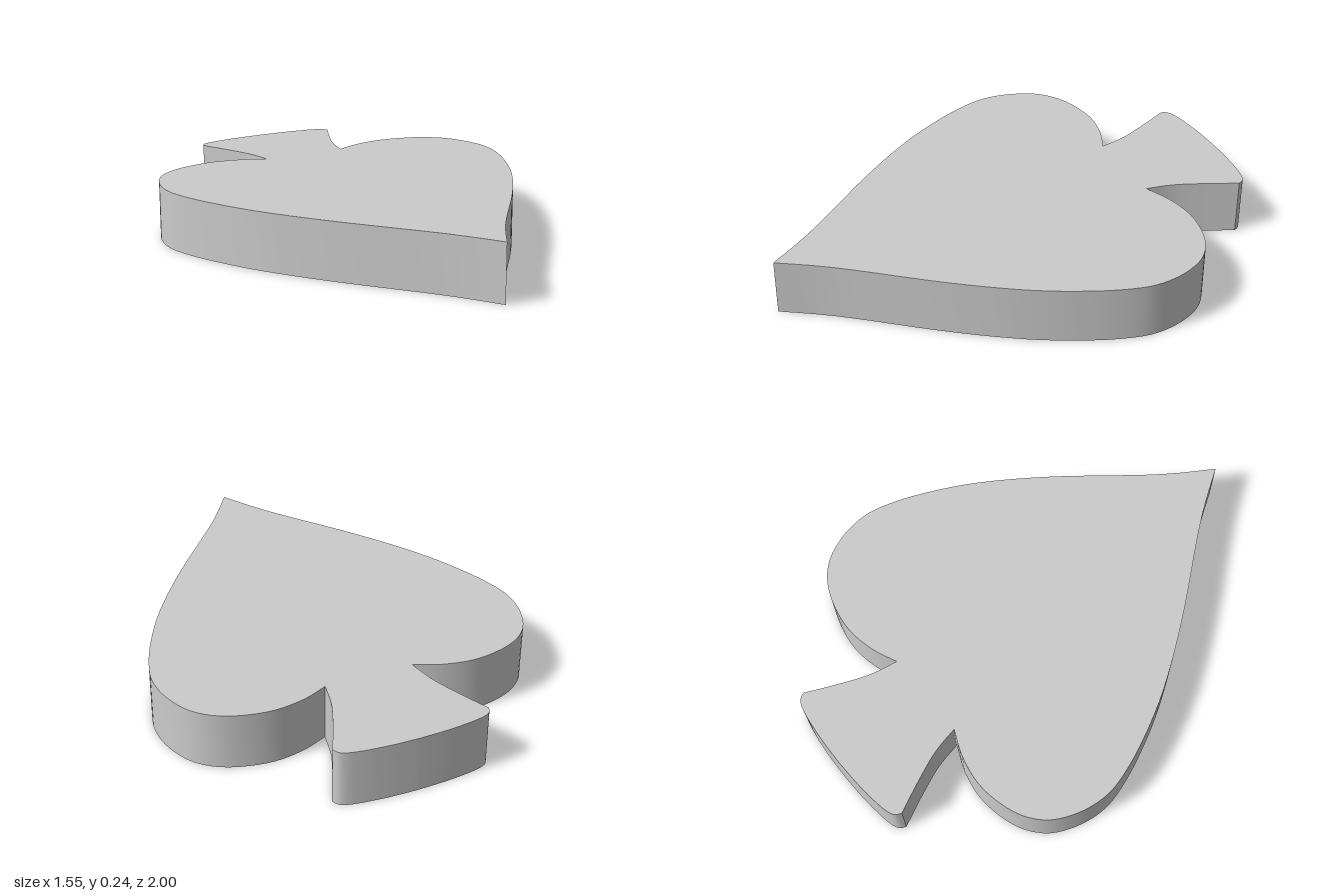
import * as THREE from 'three';
import { toCreasedNormals } from 'three/addons/utils/BufferGeometryUtils.js';

const HEIGHT = 0.24;

// Half outline as [x, z] curves that meet at sharp corners, from the tip to the stem end
const halfCurves = [
  // side and rounded lobe
  [[0, 1], [0.14, 0.79], [0.41, 0.45], [0.59, 0.19], [0.7, -0.02], [0.76, -0.18], [0.777, -0.29],
    [0.757, -0.41], [0.7, -0.52], [0.595, -0.595], [0.44, -0.63], [0.3, -0.612], [0.185, -0.565]],
  // flared stem
  [[0.185, -0.565], [0.21, -0.68], [0.26, -0.805], [0.32, -0.935]],
  // stem corner and gently bowed end
  [[0.32, -0.935], [0.3, -0.965], [0.24, -0.983], [0.12, -0.996], [0, -1]],
];

function spadeShape() {
  const mirrored = halfCurves.map(c => c.map(([x, z]) => [-x, z]).reverse()).reverse();
  const shape = new THREE.Shape();
  shape.moveTo(0, -1);
  for (const curve of [...halfCurves, ...mirrored]) {
    shape.splineThru(curve.slice(1).map(([x, z]) => new THREE.Vector2(x, -z)));
  }
  return shape;
}

export function createModel() {
  const group = new THREE.Group();
  group.name = 'spade';

  // Flat slab lying on the ground, tip toward the front
  const slab = new THREE.ExtrudeGeometry(spadeShape(), { depth: HEIGHT, bevelEnabled: false, curveSegments: 4 });
  slab.rotateX(-Math.PI / 2);
  const body = new THREE.Mesh(
    toCreasedNormals(slab, Math.PI / 6),
    new THREE.MeshStandardMaterial({ color: 0xcccccc }),
  );
  body.name = 'spadeBody';
  group.add(body);
  return group;
}
